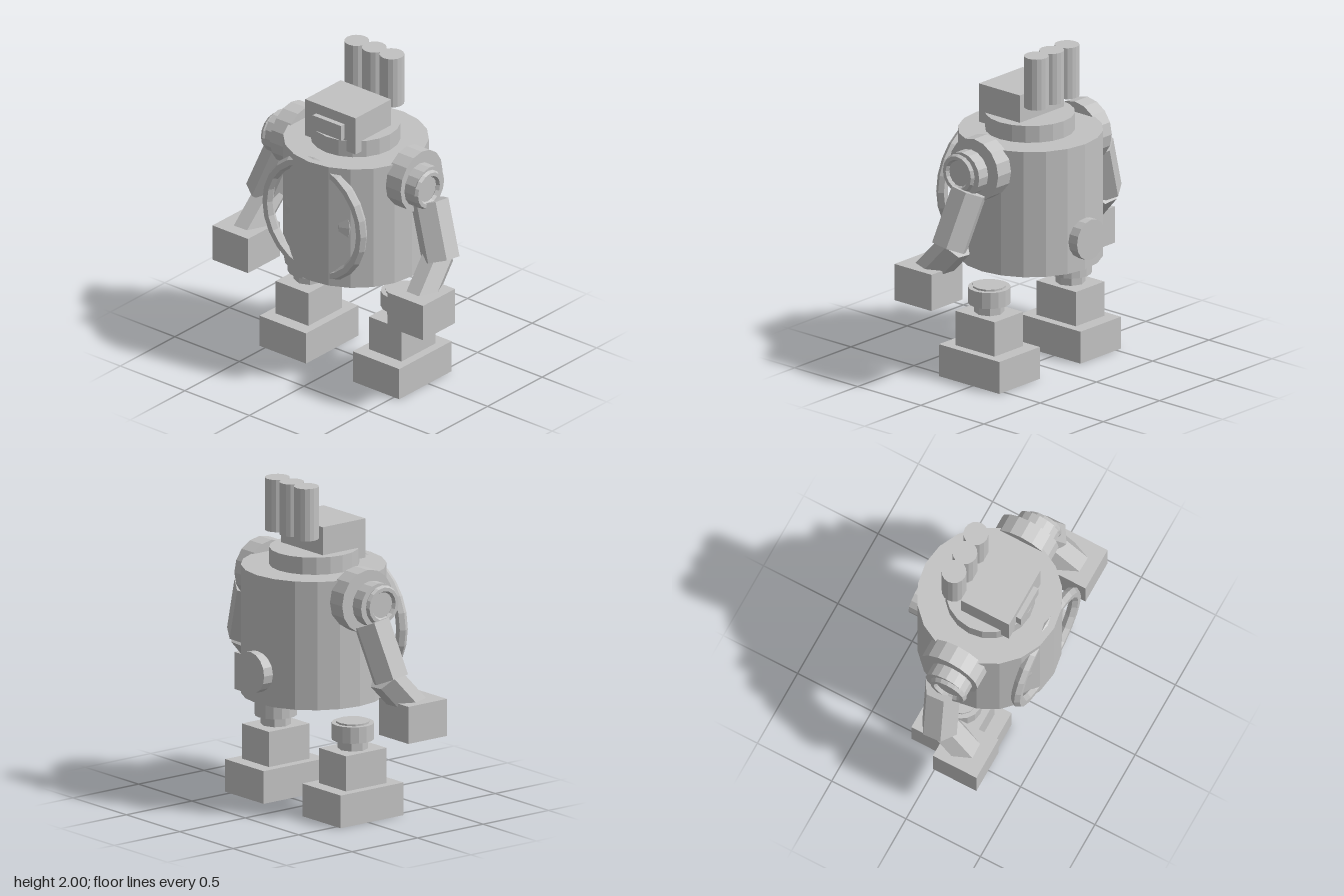
import * as THREE from 'three';

const grey = new THREE.MeshStandardMaterial({ color: 0xc2c2c2, flatShading: true });
grey.name = 'plain grey';

export function createModel() {
  const model = new THREE.Group();
  model.name = 'robot';

  function add(name, geometry, x, y, z, parent = model) {
    const mesh = new THREE.Mesh(geometry, grey);
    mesh.name = name;
    mesh.position.set(x, y, z);
    parent.add(mesh);
    return mesh;
  }
  const box = (w, h, d) => new THREE.BoxGeometry(w, h, d);
  const cyl = (r, h, n) => new THREE.CylinderGeometry(r, r, h, n);

  // six-sided limb running from point a to point b
  function limb(name, a, b, r, roll, parent) {
    const from = new THREE.Vector3(...a), to = new THREE.Vector3(...b);
    const dir = to.clone().sub(from);
    const mid = from.clone().add(to).multiplyScalar(0.5);
    const mesh = add(name, cyl(r, dir.length(), 6).rotateY(roll), mid.x, mid.y, mid.z, parent);
    mesh.quaternion.setFromUnitVectors(new THREE.Vector3(0, -1, 0), dir.normalize());
    // keep the cross-section upright after the half turn
    mesh.quaternion.setFromUnitVectors(new THREE.Vector3(0, 1, 0), dir.negate());
  }

  // body and collar
  add('torso', cyl(0.432, 0.785, 20), 0, 1.078, 0.022);
  add('collar', cyl(0.267, 0.105, 20), 0, 1.523, 0.026);

  // chest ring and the shallow dome inside it
  add('chestRing', new THREE.TorusGeometry(0.363, 0.035, 6, 24), 0, 1.08, 0.4);
  add('chestDome', new THREE.SphereGeometry(0.27, 16, 12).scale(1, 1, 0.307), 0, 1.08, 0.347);

  // round plate low on the back
  add('backPlate', cyl(0.125, 0.11, 16).rotateX(Math.PI / 2), 0, 0.883, -0.403);

  // head, visor and crest
  add('head', box(0.39, 0.24, 0.325), 0, 1.627, 0.095);
  add('visor', box(0.22, 0.095, 0.06), 0, 1.633, 0.26);
  for (const i of [-1, 0, 1]) add('crestTube', cyl(0.074, 0.32, 16), i * 0.136, 1.84, -0.145);

  for (const s of [1, -1]) {
    const side = s > 0 ? 'left' : 'right';

    // arm
    const arm = new THREE.Group();
    arm.name = side + 'Arm';
    model.add(arm);
    add('shoulder', cyl(0.192, 0.115, 16).rotateZ(Math.PI / 2), s * 0.448, 1.343, 0.02, arm);
    add('shoulderCap', cyl(0.135, 0.09, 16).rotateZ(Math.PI / 2), s * 0.54, 1.33, 0.042, arm);
    add('shoulderRing', new THREE.TorusGeometry(0.1, 0.022, 6, 16).rotateY(Math.PI / 2),
      s * 0.59, 1.33, 0.063, arm);
    limb('upperArm', [s * 0.56, 1.225, 0.01], [s * 0.685, 0.895, 0.055], 0.115, 0, arm);
    limb('forearm', [s * 0.65, 0.91, 0.03], [s * 0.67, 0.69, 0.23], 0.1, Math.PI / 6, arm);
    add('hand', box(0.275, 0.227, 0.293), s * 0.678, 0.637, 0.227, arm);

    // leg
    const leg = new THREE.Group();
    leg.name = side + 'Leg';
    leg.position.set(s * 0.361, 0, 0.027);
    model.add(leg);
    add('foot', box(0.36, 0.2, 0.479), 0, 0.1, 0, leg);
    add('shin', box(0.253, 0.216, 0.31), 0, 0.307, 0, leg);
    add('ankle', cyl(0.09, 0.08, 8), 0, 0.445, 0, leg);
    add('hipDisc', cyl(0.127, 0.1, 16), 0, 0.523, 0, leg);
    add('hipLip', cyl(0.1, 0.03, 12), 0, 0.569, 0, leg);
  }

  return model;
}
